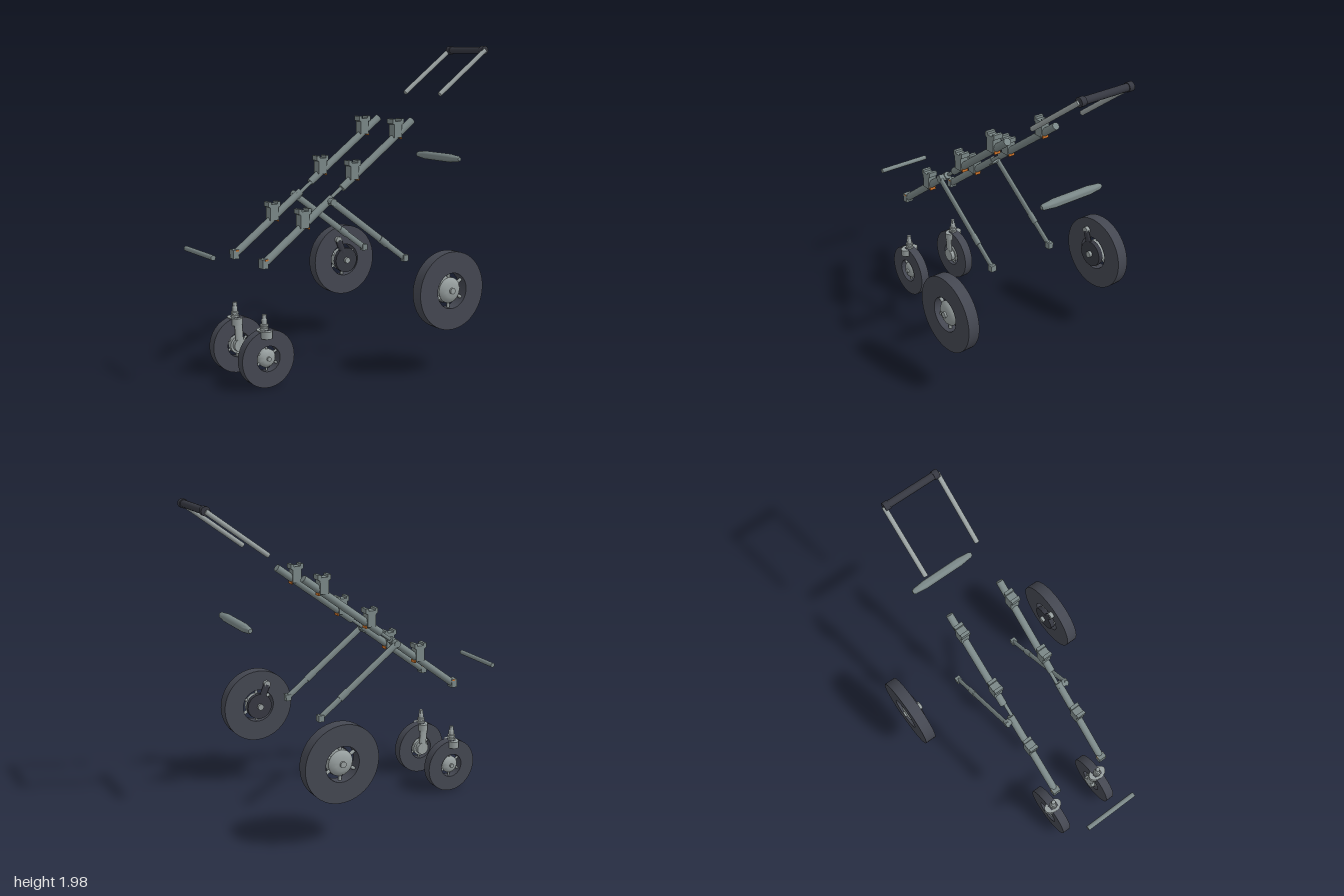
import * as THREE from 'three';
import { toCreasedNormals } from 'three/addons/utils/BufferGeometryUtils.js';

const mat = (name, color) => {
  const m = new THREE.MeshStandardMaterial({ color });
  m.name = name;
  return m;
};
const V = (x, y, z) => new THREE.Vector3(x, y, z);
const UP = V(0, 1, 0);

export function createModel() {
  const frame = mat('frame grey', 0x7a8787);
  const light = mat('light metal', 0x98a0a0);
  const rubber = mat('tyre rubber', 0x444751);
  const dark = mat('dark plastic', 0x363841);
  const orange = mat('orange accent', 0xd0742a);
  const model = new THREE.Group();
  model.name = 'explodedWheeledFrame';

  const add = (parent, name, geo, material, x = 0, y = 0, z = 0) => {
    const m = new THREE.Mesh(geo, material);
    m.name = name;
    m.position.set(x, y, z);
    parent.add(m);
    return m;
  };
  // Round bar between two points, optionally flattened in z
  const bar = (parent, name, a, b, r, material, flat = 1) => {
    const geo = new THREE.CylinderGeometry(r, r, a.distanceTo(b), 16);
    const m = add(parent, name, geo, material);
    m.position.copy(a).lerp(b, 0.5);
    m.quaternion.setFromUnitVectors(UP, b.clone().sub(a).normalize());
    m.scale.z = flat;
    return m;
  };
  const lathe = (pts, n = 32) => toCreasedNormals(
    new THREE.LatheGeometry(pts.map(p => new THREE.Vector2(p[0], p[1])), n), 0.7);

  // Wheel whose local +y is the outward side
  const wheel = (name, x, y, z, s, R, hole, hubR, half) => {
    const g = new THREE.Group();
    g.name = name;
    g.position.set(x, y, z * s);
    g.rotation.x = s * Math.PI / 2;
    model.add(g);
    add(g, 'tyre', lathe([[hole, -half], [R, -half], [R, half], [hole, half], [hole, -half]], 48), rubber);
    add(g, 'hub', lathe([[0, -half * 0.9], [hubR, -half * 0.9], [hubR, half * 0.3],
      [hubR * 0.85, half * 0.65], [hubR * 0.55, half * 0.9], [0, half]]), light);
    add(g, 'axleCap', new THREE.CylinderGeometry(hubR * 0.24, hubR * 0.24, 0.02, 16), light, 0, half);
    for (let i = 0; i < 6; i++) {
      const a = (i + 0.5) * Math.PI / 3;
      const d = V(Math.cos(a), 0, Math.sin(a));
      bar(g, 'spoke', d.clone().multiplyScalar(hubR * 0.8), d.clone().multiplyScalar(hole * 1.02), hubR * 0.13, light);
    }
    return g;
  };

  // Notched bracket outline
  const outline = new THREE.Shape([
    [-0.029, 0], [0.029, 0], [0.029, 0.08], [0.042, 0.086], [0.042, 0.115], [0.022, 0.115],
    [0.022, 0.1], [-0.022, 0.1], [-0.022, 0.115], [-0.042, 0.115], [-0.042, 0.086], [-0.029, 0.08],
  ].map(p => new THREE.Vector2(p[0], p[1])));
  const bracketGeo = new THREE.ExtrudeGeometry(outline, { depth: 0.058, bevelEnabled: false });
  bracketGeo.translate(0, 0, -0.029);

  for (const s of [1, -1]) {
    const P = (x, y, z) => V(x, y, z * s);
    const side = new THREE.Group();
    side.name = s > 0 ? 'leftSide' : 'rightSide';
    model.add(side);

    // Inclined rail in two halves joined by a thin pin
    bar(side, 'lowerRail', P(-0.66, 0.735, 0.18), P(-0.2, 1.08, 0.18), 0.023, frame);
    bar(side, 'upperRail', P(-0.13, 1.133, 0.18), P(0.39, 1.52, 0.18), 0.023, frame);
    bar(side, 'railPin', P(-0.21, 1.073, 0.172), P(-0.12, 1.14, 0.172), 0.011, frame);
    add(side, 'railFoot', new THREE.BoxGeometry(0.038, 0.055, 0.05), frame, -0.667, 0.733, 0.18 * s);
    add(side, 'footAccent', new THREE.BoxGeometry(0.02, 0.009, 0.052), orange, -0.66, 0.755, 0.18 * s);

    // Brackets along the rail, each with an accent plate at its lower edge
    for (const [x, y] of [[-0.403, 0.918], [-0.053, 1.183], [0.265, 1.42]]) {
      add(side, 'bracket', bracketGeo, frame, x, y, 0.18 * s);
      add(side, 'bracketAccent', new THREE.BoxGeometry(0.008, 0.018, 0.042), orange, x + 0.032, y, 0.18 * s);
    }

    // Flattened leg with pivot, sleeve and end knob
    bar(side, 'legPivot', P(-0.22, 1.06, 0.165), P(-0.22, 1.06, 0.236), 0.022, frame);
    bar(side, 'leg', P(-0.235, 1.071, 0.223), P(0.15, 0.788, 0.223), 0.021, frame, 0.6);
    bar(side, 'legSleeve', P(0.12, 0.81, 0.223), P(0.175, 0.769, 0.223), 0.023, frame, 0.7);
    bar(side, 'legExtension', P(0.15, 0.788, 0.223), P(0.31, 0.67, 0.223), 0.019, frame, 0.6);
    add(side, 'legEnd', new THREE.BoxGeometry(0.036, 0.04, 0.036), frame, 0.309, 0.671, 0.225 * s);

    // Large wheel with brake drum and mounting knob on its inner face
    wheel('rearWheel', 0.37, 0.527, 0.583, s, 0.237, 0.108, 0.078, 0.037);
    bar(side, 'brakeDrum', P(0.37, 0.527, 0.552), P(0.37, 0.527, 0.522), 0.085, dark);
    bar(side, 'axle', P(0.37, 0.527, 0.56), P(0.37, 0.527, 0.503), 0.02, light);
    bar(side, 'brakeArm', P(0.35, 0.58, 0.532), P(0.312, 0.668, 0.532), 0.024, dark, 0.5);
    bar(side, 'brakeKnob', P(0.312, 0.672, 0.548), P(0.312, 0.672, 0.522), 0.022, light);

    // Caster with one-sided fork and stepped stem
    wheel('casterWheel', -0.657, 0.174, 0.183, s, 0.172, 0.076, 0.055, 0.029);
    const crown = add(side, 'forkCrown', new THREE.CylinderGeometry(0.041, 0.041, 0.043, 24), light, -0.669, 0.321, 0.185 * s);
    crown.scale.z = 1.48;
    bar(side, 'forkArm', P(-0.669, 0.325, 0.143), P(-0.657, 0.16, 0.143), 0.026, light, 0.5);
    bar(side, 'forkHub', P(-0.657, 0.174, 0.16), P(-0.657, 0.174, 0.131), 0.042, light);
    add(side, 'casterStem', lathe([[0.025, 0.335], [0.025, 0.356], [0.016, 0.357], [0.016, 0.364],
      [0.024, 0.365], [0.024, 0.377], [0.017, 0.38], [0.017, 0.405], [0.013, 0.41], [0.013, 0.435], [0, 0.435]], 20),
      light, -0.669, 0, 0.183 * s);

    // Handle arm and grip cap
    bar(side, 'handleArm', P(0.605, 1.675, 0.181), P(0.972, 1.95, 0.181), 0.015, light);
    bar(side, 'gripCap', P(0.97, 1.95, 0.15), P(0.97, 1.95, 0.184), 0.027, dark);
  }

  // Cross members
  bar(model, 'handleGrip', V(0.97, 1.95, -0.17), V(0.97, 1.95, 0.17), 0.022, dark);
  bar(model, 'frontCrossbar', V(-0.985, 0.8, -0.178), V(-0.985, 0.8, 0.178), 0.015, frame);
  const spindle = add(model, 'centreCrossbar', lathe([[0, -0.22], [0.012, -0.22], [0.019, -0.205], [0.022, -0.17],
    [0.027, -0.13], [0.027, 0.13], [0.022, 0.17], [0.019, 0.205], [0.012, 0.22], [0, 0.22]], 24), frame, 0.743, 1.262, 0);
  spindle.rotation.x = Math.PI / 2;
  return model;
}
